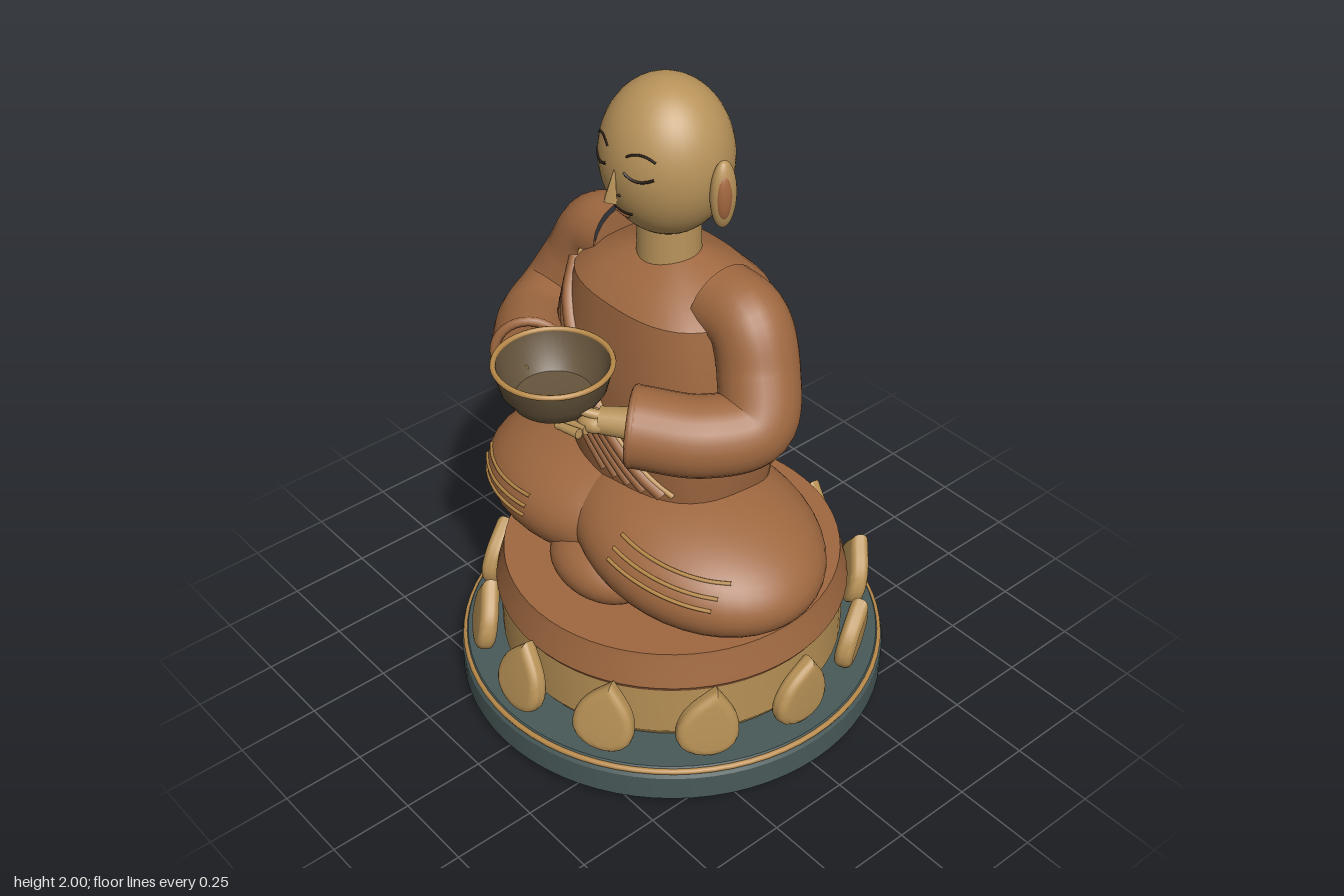
import * as THREE from 'three';
import { toCreasedNormals } from 'three/addons/utils/BufferGeometryUtils.js';

const mat = (name, color) => {
  const m = new THREE.MeshStandardMaterial({ color });
  m.name = name;
  return m;
};
const V = (x, y, z) => new THREE.Vector3(x, y, z);

export function createModel() {
  const robe = mat('robe', 0x9f6840);
  const skin = mat('skin', 0xb8935a);
  const lotus = mat('lotus', 0xb69055);
  const stone = mat('stone', 0x485958);
  const gold = mat('goldTrim', 0xb98a4a);
  const bowlMat = mat('bowlBrown', 0x65543c);
  const ink = mat('ink', 0x2c2018);
  const blush = mat('blush', 0xa4683f);

  const model = new THREE.Group();
  const add = (name, geo, material, pos = [0, 0, 0]) => {
    const m = new THREE.Mesh(geo, material);
    m.name = name;
    m.position.set(...pos);
    model.add(m);
    return m;
  };
  const lathe = (pts, seg = 64) =>
    toCreasedNormals(new THREE.LatheGeometry(pts.map(p => new THREE.Vector2(...p)), seg), 0.5);
  const ball = (name, r, material, pos, seg = 16) => {
    const m = add(name, new THREE.SphereGeometry(1, seg, seg * 0.75), material, pos);
    m.scale.set(...r);
    return m;
  };
  const tube = (name, pts, r, material, seg = 24, sides = 8) =>
    add(name, new THREE.TubeGeometry(new THREE.CatmullRomCurve3(pts), seg, r, sides), material);
  // tapered rod between two points
  const rod = (name, a, b, ra, rb, material) => {
    const d = b.clone().sub(a);
    const m = add(name, new THREE.CylinderGeometry(rb, ra, d.length(), 16), material,
      a.clone().add(b).multiplyScalar(0.5).toArray());
    m.quaternion.setFromUnitVectors(V(0, 1, 0), d.normalize());
  };

  // pedestal
  add('base', lathe([[0, 0], [0.62, 0], [0.65, 0.03], [0.65, 0.11], [0.63, 0.14], [0, 0.145]], 72), stone);
  add('baseRing', new THREE.TorusGeometry(0.637, 0.009, 8, 72), gold, [0, 0.127, 0]).rotation.x = Math.PI / 2;
  add('lotusDrum', lathe([[0.5, 0.14], [0.52, 0.17], [0.52, 0.33], [0, 0.335]]), lotus);
  add('cushion', lathe([[0, 0.33], [0.52, 0.33], [0.532, 0.35], [0.525, 0.38], [0.508, 0.44], [0.505, 0.456], [0, 0.456]]), robe);

  // twelve lotus petals, all leaning the same way
  const petal = new THREE.Shape();
  petal.moveTo(0, 0.088);
  petal.bezierCurveTo(-0.025, 0.06, -0.068, 0.03, -0.068, -0.03);
  petal.bezierCurveTo(-0.068, -0.1, 0.068, -0.1, 0.068, -0.03);
  petal.bezierCurveTo(0.068, 0.03, 0.025, 0.06, 0, 0.088);
  const petalGeo = toCreasedNormals(new THREE.ExtrudeGeometry(petal, {
    depth: 0.012, bevelEnabled: true, bevelSize: 0.024, bevelThickness: 0.022, bevelSegments: 4, curveSegments: 10,
  }).translate(0, 0, -0.006), 0.6);
  for (let i = 0; i < 12; i++) {
    const a = (i / 12) * Math.PI * 2;
    add('petal', petalGeo, lotus, [0.572 * Math.sin(a), 0.247, 0.572 * Math.cos(a)]).rotation.set(-0.24, a, 0);
  }

  // crossed legs with embroidered lines that follow the knees
  const legs = [
    { c: [-0.2, 0.64, 0.085], r: [0.415, 0.18, 0.325], roll: 0.09, y0: 0.67, y1: 0.71 },
    { c: [0.2, 0.658, 0.075], r: [0.415, 0.185, 0.325], roll: -0.09, y0: 0.735, y1: 0.77 },
  ];
  for (const { c, r, roll, y0, y1 } of legs) {
    ball('leg', r, robe, c, 40).rotation.z = roll;
    const surfaceZ = (x, y) => {
      const dx = x - c[0], dy = y - c[1];
      const u = (dx * Math.cos(roll) + dy * Math.sin(roll)) / r[0];
      const v = (dy * Math.cos(roll) - dx * Math.sin(roll)) / r[1];
      return c[2] + r[2] * Math.sqrt(Math.max(0, 1 - u * u - v * v));
    };
    for (let k = 0; k < 3; k++) {
      const pts = [];
      for (let i = 0; i <= 8; i++) {
        const t = i / 8, x = Math.sign(c[0]) * (0.5 - 0.32 * t);
        const y = y0 + (y1 - y0) * t - k * 0.03;
        pts.push(V(x, y, surfaceZ(x, y)));
      }
      tube('kneeStripe', pts, 0.006, gold, 24, 6);
    }
  }
  ball('foldedFeet', [0.18, 0.097, 0.13], robe, [0.04, 0.565, 0.3], 32);

  // torso: squared-off lathe, left open under the neck
  const N = 2.6, K = 0.77;
  const profile = [[0.28, 0.68], [0.3, 0.8], [0.332, 1.03], [0.318, 1.22], [0.285, 1.39], [0.21, 1.45], [0.08, 1.497]];
  const torsoGeo = new THREE.LatheGeometry(profile.map(p => new THREE.Vector2(...p)), 48);
  const p = torsoGeo.attributes.position;
  for (let i = 0; i < p.count; i++) {
    const x = p.getX(i), z = p.getZ(i), r = Math.hypot(x, z);
    const f = Math.pow(Math.pow(Math.abs(x / r), N) + Math.pow(Math.abs(z / r), N), -1 / N);
    p.setXYZ(i, x * f, p.getY(i), z * f * K);
  }
  add('torso', toCreasedNormals(torsoGeo, 0.5), robe);
  const torsoZ = (x, y) => {
    let i = 0;
    while (i < profile.length - 2 && profile[i + 1][1] < y) i++;
    const [ra, ya] = profile[i], [rb, yb] = profile[i + 1];
    const r = ra + (rb - ra) * (y - ya) / (yb - ya);
    return K * Math.pow(Math.max(0, r ** N - Math.abs(x) ** N), 1 / N);
  };

  // sash folds fanning from the right shoulder to the left hip
  const fold = (name, s, radius, material) => {
    const pts = [];
    for (let i = 0; i <= 10; i++) {
      const t = i / 10;
      const x = -0.26 + (0.46 - s * 0.2) * t;
      const y = 1.38 - s * 0.12 - (0.525 - s * 0.12) * t - 0.04 * Math.sin(Math.PI * t);
      pts.push(V(x, y, torsoZ(x, y) + 0.002));
    }
    tube(name, pts, radius, material, 32, 8);
  };
  for (let k = 0; k < 5; k++) fold('sashFold', k / 4, 0.022, robe);
  for (const s of [-0.13, 0.12, 0.88]) fold('sashTrim', s, 0.009, gold);

  // sleeves, hands and ears, mirrored
  for (const s of [-1, 1]) {
    const path = [[0.2, 1.415, 0], [0.31, 1.395, 0], [0.375, 1.28, 0.02], [0.42, 1.165, 0.075], [0.36, 1.148, 0.2], [0.225, 1.165, 0.325]]
      .map(([x, y, z]) => V(s * x, y, z));
    tube('sleeve', path, 0.112, robe, 48, 24);
    add('sleeveTop', new THREE.CircleGeometry(0.112, 24), robe, path[0].toArray()).rotation.y = -s * Math.PI / 2;
    const end = path[5], target = end.clone().add(V(-s * 0.74, 0.06, 0.67));
    add('sleeveOpening', new THREE.CircleGeometry(0.112, 24), robe, end.toArray()).lookAt(target);
    add('cuff', new THREE.TorusGeometry(0.1, 0.014, 8, 32), robe, end.toArray()).lookAt(target);

    rod('wrist', V(s * 0.25, 1.17, 0.3), V(s * 0.15, 1.17, 0.38), 0.048, 0.038, skin);
    ball('palm', [0.05, 0.03, 0.04], skin, [s * 0.135, 1.165, 0.39]);
    for (let k = 0; k < 4; k++) {
      const z = 0.375 + k * 0.025;
      rod('finger', V(s * 0.15, 1.158, z), V(s * 0.075, 1.148, z + 0.01), 0.014, 0.011, skin);
      ball('fingertip', [0.012, 0.012, 0.012], skin, [s * 0.075, 1.148, z + 0.01], 12);
    }
    rod('thumb', V(s * 0.17, 1.185, 0.37), V(s * 0.125, 1.205, 0.42), 0.017, 0.012, skin);

    ball('ear', [0.03, 0.098, 0.039], skin, [s * 0.2, 1.735, -0.002], 24);
    ball('innerEar', [0.02, 0.07, 0.026], blush, [s * 0.212, 1.735, 0.006], 24);
  }

  // alms bowl
  add('bowl', lathe([[0, 1.15], [0.08, 1.15], [0.115, 1.175], [0.145, 1.22], [0.163, 1.29], [0.153, 1.29],
    [0.134, 1.225], [0.105, 1.19], [0, 1.175]], 48), bowlMat, [0, 0, 0.415]);
  add('bowlRim', new THREE.TorusGeometry(0.16, 0.008, 8, 48), gold, [0, 1.291, 0.415]).rotation.x = Math.PI / 2;

  // head and neck
  add('neck', new THREE.CylinderGeometry(0.087, 0.09, 0.16, 32), skin, [0, 1.54, 0.01]);
  const H = { c: [0, 1.778, 0.018], r: [0.187, 0.222, 0.178] };
  ball('head', H.r, skin, H.c, 40);
  const faceZ = (x, y) => H.c[2] + H.r[2] * Math.sqrt(1 - (x / H.r[0]) ** 2 - ((y - H.c[1]) / H.r[1]) ** 2);

  // nose: a four-sided wedge set into the face
  const nose = add('nose', new THREE.ConeGeometry(0.026, 0.1, 4), skin, [0, 1.755, 0.2]);
  nose.scale.z = 0.9;
  nose.rotation.x = -0.17;

  // painted face lines
  const arc = (name, cx, cy, half, bend, radius, material) => {
    const pts = [];
    for (let i = 0; i <= 8; i++) {
      const t = i / 4 - 1, x = cx + half * t, y = cy + bend * (1 - t * t);
      pts.push(V(x, y, faceZ(x, y)));
    }
    tube(name, pts, radius, material, 16, 6);
  };
  for (const s of [-1, 1]) {
    arc('eyebrow', s * 0.075, 1.842, 0.038, 0.014, 0.0035, ink);
    arc('closedEye', s * 0.075, 1.798, 0.04, -0.014, 0.004, ink);
    ball('nostril', [0.005, 0.004, 0.004], ink, [s * 0.014, 1.722, faceZ(0.014, 1.722) + 0.002], 8);
  }
  arc('mouthLine', 0, 1.668, 0.042, -0.006, 0.004, ink);
  arc('lowerLip', 0, 1.657, 0.03, -0.006, 0.006, blush);
  return model;
}
